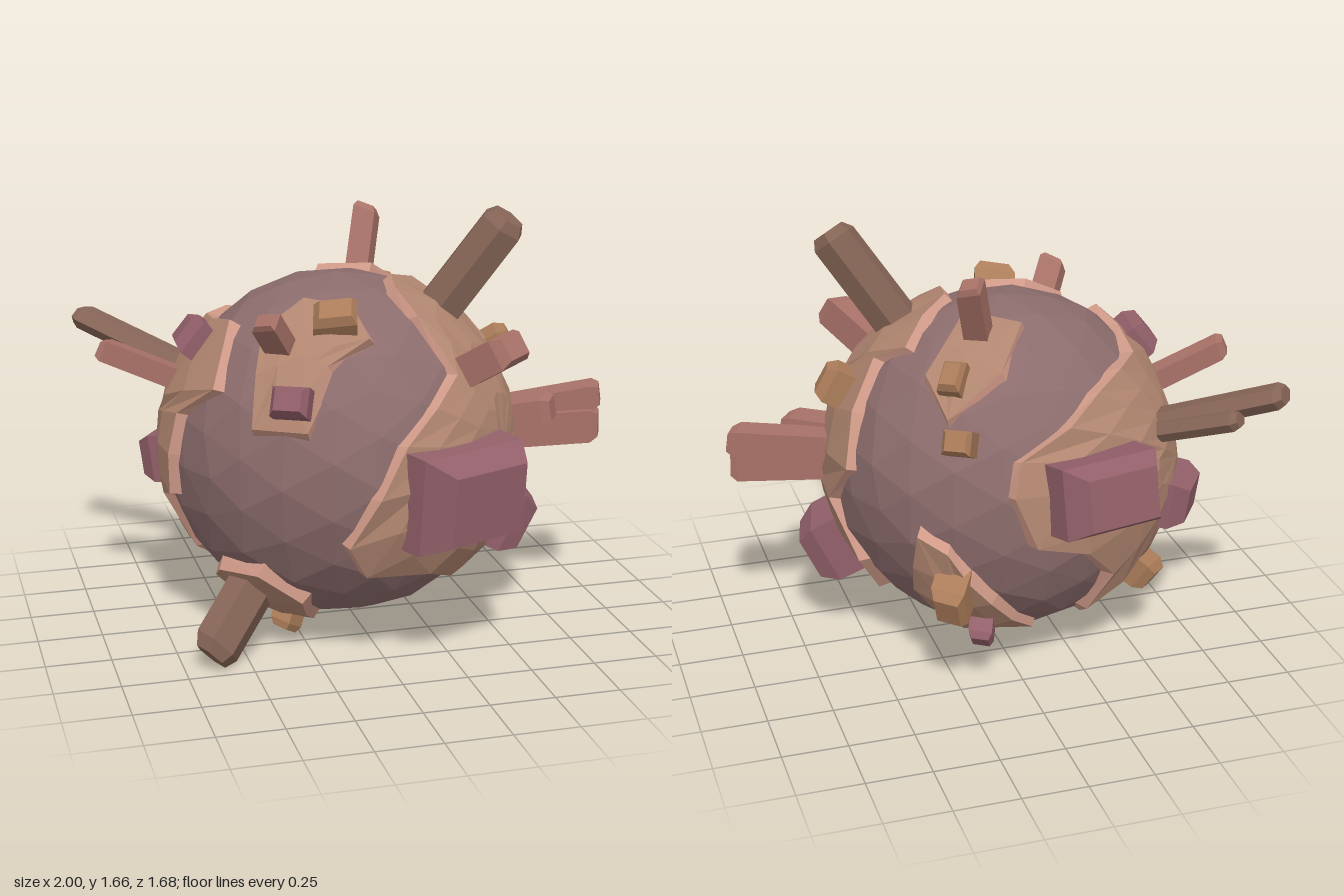
import * as THREE from 'three';

const CENTRE = new THREE.Vector3(-0.06, 0.71, 0.015);
const SEA = 0.67, LAND = 0.703;
const mat = (color) => new THREE.MeshStandardMaterial({ color, flatShading: true });
const MATS = {
  sea: mat(0x8c6c6c), land: mat(0xb18670), cliff: mat(0xd09a88),
  brown: mat(0x866556), pink: mat(0xa87268), plum: mat(0x93606a), ochre: mat(0xac7d5a),
};

// direction from longitude (0 = front, 90 = left) and latitude in degrees
const dir = (lon, lat) => new THREE.Vector3().setFromSphericalCoords(
  1, THREE.MathUtils.degToRad(90 - lat), THREE.MathUtils.degToRad(lon));

// point on the slightly uneven globe
function onGlobe(direction, radius) {
  const d = direction.clone().normalize();
  const bump = Math.sin(d.x * 17.3 + d.y * 9.1) * Math.cos(d.z * 14.7 - d.y * 11.9);
  return d.multiplyScalar(radius + bump * 0.007);
}

function named(name, geometry, material) {
  const mesh = new THREE.Mesh(geometry, material);
  mesh.name = name;
  return mesh;
}

// faceted globe
function globe() {
  const geo = new THREE.IcosahedronGeometry(1, 3);
  const pos = geo.attributes.position, p = new THREE.Vector3();
  for (let i = 0; i < pos.count; i++) {
    const q = onGlobe(p.fromBufferAttribute(pos, i), SEA);
    pos.setXYZ(i, q.x, q.y, q.z);
  }
  geo.computeVertexNormals();
  return named('globe', geo, MATS.sea);
}

// surface through closed loops, listed from the inside outwards
function loopSurface(loops) {
  const out = [];
  const tri = (...ps) => ps.forEach((p) => out.push(p.x, p.y, p.z));
  for (let k = 0; k + 1 < loops.length; k++) {
    const a = loops[k], b = loops[k + 1];
    a.forEach((p, i) => {
      const j = (i + 1) % a.length;
      tri(p, b[i], b[j]);
      if (p.distanceTo(a[j]) > 1e-6) tri(p, b[j], a[j]);
    });
  }
  const geo = new THREE.BufferGeometry();
  geo.setAttribute('position', new THREE.Float32BufferAttribute(out, 3));
  geo.computeVertexNormals();
  return geo;
}

// raised land with a sloping cliff: a middle, then the corners of its outline around it
function plate(name, [centre, ...corners]) {
  const middle = dir(...centre);
  const pts = corners.map((c) => dir(...c));
  const outline = [];
  pts.forEach((p, i) => {
    const q = pts[(i + 1) % pts.length];
    const n = Math.max(1, Math.round(p.angleTo(q) / 0.3));
    for (let k = 0; k < n; k++) outline.push(p.clone().lerp(q, k / n).normalize());
  });
  const turn = new THREE.Vector3();
  outline.forEach((p, i) => turn.add(p.clone().cross(outline[(i + 1) % outline.length])));
  if (turn.dot(middle) < 0) outline.reverse();

  const ring = (t, radius, inset) => outline.map((p) => {
    const axis = middle.clone().cross(p).normalize();
    const angle = (middle.angleTo(p) - inset) * t;
    return onGlobe(middle.clone().applyAxisAngle(axis, angle), radius);
  });
  const reach = Math.max(...outline.map((p) => middle.angleTo(p)));
  const steps = Math.max(2, Math.round(reach / 0.3));
  const tops = [];
  for (let k = 0; k <= steps; k++) tops.push(ring(k / steps, LAND, 0.045));

  const group = new THREE.Group();
  group.name = name;
  group.add(named(name + 'Top', loopSurface(tops), MATS.land));
  group.add(named(name + 'Cliff', loopSurface([tops[steps], ring(1, SEA - 0.015, 0)]), MATS.cliff));
  return group;
}

// prism growing straight out of the globe, with a chamfered, slanting end
function prism(name, material, sides, slant, lon, lat, reach, w, h) {
  const root = 0.56, len = reach - root;
  const geo = new THREE.CylinderGeometry(0.5, 0.5, 1, sides, 2).toNonIndexed();
  geo.rotateY(Math.PI / sides);
  const fit = sides === 4 ? Math.SQRT2 : 1.1;
  const chamfer = Math.min(0.3 * Math.min(w, h), 0.35 * len);
  const heights = [root, reach - chamfer, reach];
  const widths = [1.02, 1, 0.72];
  const pos = geo.attributes.position;
  for (let i = 0; i < pos.count; i++) {
    const level = Math.round((pos.getY(i) + 0.5) * 2);
    const x = pos.getX(i) * fit * widths[level] * w;
    const z = pos.getZ(i) * fit * widths[level] * h;
    pos.setXYZ(i, x, heights[level] + (level ? x * slant : 0), z);
  }
  geo.computeVertexNormals();
  const y = dir(lon, lat);
  const x = new THREE.Vector3(0, 1, 0).cross(y).normalize();
  geo.applyMatrix4(new THREE.Matrix4().makeBasis(x, y, x.clone().cross(y)));
  return named(name, geo, material);
}

// land: middle, then outline corners
const PLATES = {
  ridgePlate: [[-28, 42], [-43, 16], [-23, 16], [-15, 38], [4, 48], [0, 63], [-40, 67], [-54, 50]],
  leftPlate: [[-120, 5], [167, 22], [165, 11], [172, -6], [-171, -11], [-157, -25], [-157, -46], [-140, -60],
    [-101, -40], [-95, -17], [-78, -11], [-75, 17], [-58, 28], [-71, 51], [-92, 49], [-119, 45], [-158, 40], [-175, 31]],
  rightPlate: [[50, 5], [112, 53], [72, 75], [36, 69], [30, 56], [32, 34], [5, 14], [-13, -18], [-7, -30], [19, -34],
    [61, -46], [101, -44], [108, -26], [95, -7], [109, 9], [98, 45]],
  topPlate: [[145, 55], [-172, 69], [167, 48], [144, 31], [127, 44], [121, 74]],
  backPlate: [[147, -32], [137, -1], [129, -26], [145, -54], [184, -52], [163, -27], [147, -6]],
  lowerPlate: [[-55, -46], [-64, -31], [-42, -29], [-26, -44], [-31, -71], [-79, -59], [-79, -40]],
};

// spires: longitude, latitude, reach from the centre, width, depth
const BROWN_SPIRES = {
  tallSpire: [67, 54, 1.11, 0.13, 0.17],
  lowerSpire: [-55, -43, 0.99, 0.16, 0.19],
  backLeftSpire: [-126, 20, 1.19, 0.12, 0.09],
  backLeftSideSpire: [-130, 18, 1.02, 0.09, 0.08],
};
const PINK_SPIRES = {
  leftSpire: [-97, 24, 0.99, 0.08, 0.08],
  rightUpperSpire: [83, 8, 1.06, 0.11, 0.1],
  rightShortSpire: [74, 9, 0.85, 0.12, 0.11],
  rightLowerSpire: [81, 2, 1.04, 0.1, 0.13],
  shoulderSpire: [43, 32, 0.91, 0.13, 0.12],
  ridgeSpire: [-39, 45, 0.87, 0.1, 0.07],
  topSpire: [148, 64, 0.95, 0.09, 0.08],
};

// blocks: longitude, latitude, reach, width, height
const BLOCKS = {
  frontBlock: [27, -4, 0.84, 0.46, 0.37],
  rightBlock: [81, -26, 0.84, 0.23, 0.25],
  backBlock: [-165, 10, 0.86, 0.39, 0.27],
  leftUpperBlock: [-92, 39, 0.77, 0.17, 0.14],
  leftLowerBlock: [-120, -8, 0.78, 0.25, 0.19],
  ridgeBlock: [-29, 27, 0.78, 0.14, 0.11],
  backLowerBlock: [156, -42, 0.78, 0.09, 0.1],
};

// stones: longitude, latitude, reach, width, height
const STONES = {
  ridgeStone: [-15, 55, 0.77, 0.16, 0.12],
  rightStone: [84, 29, 0.79, 0.13, 0.14],
  backStone: [148, -23, 0.81, 0.13, 0.16],
  topStone: [143, 46, 0.76, 0.09, 0.12],
  topBackStone: [150, 27, 0.8, 0.11, 0.09],
  lowerBackStone: [-127, -34, 0.78, 0.12, 0.12],
  lowerFrontStone: [-48, -61, 0.76, 0.09, 0.09],
};

export function createModel() {
  const planet = new THREE.Group();
  planet.name = 'rockyPlanet';
  planet.position.copy(CENTRE);
  planet.add(globe());
  for (const [name, corners] of Object.entries(PLATES)) planet.add(plate(name, corners));
  const grow = (table, material, sides, slant) => {
    for (const [name, size] of Object.entries(table)) planet.add(prism(name, material, sides, slant, ...size));
  };
  grow(BROWN_SPIRES, MATS.brown, 6, 0.15);
  grow(PINK_SPIRES, MATS.pink, 4, 0.3);
  grow(BLOCKS, MATS.plum, 4, 0.08);
  grow(STONES, MATS.ochre, 4, 0.15);
  const model = new THREE.Group();
  model.add(planet);
  return model;
}
